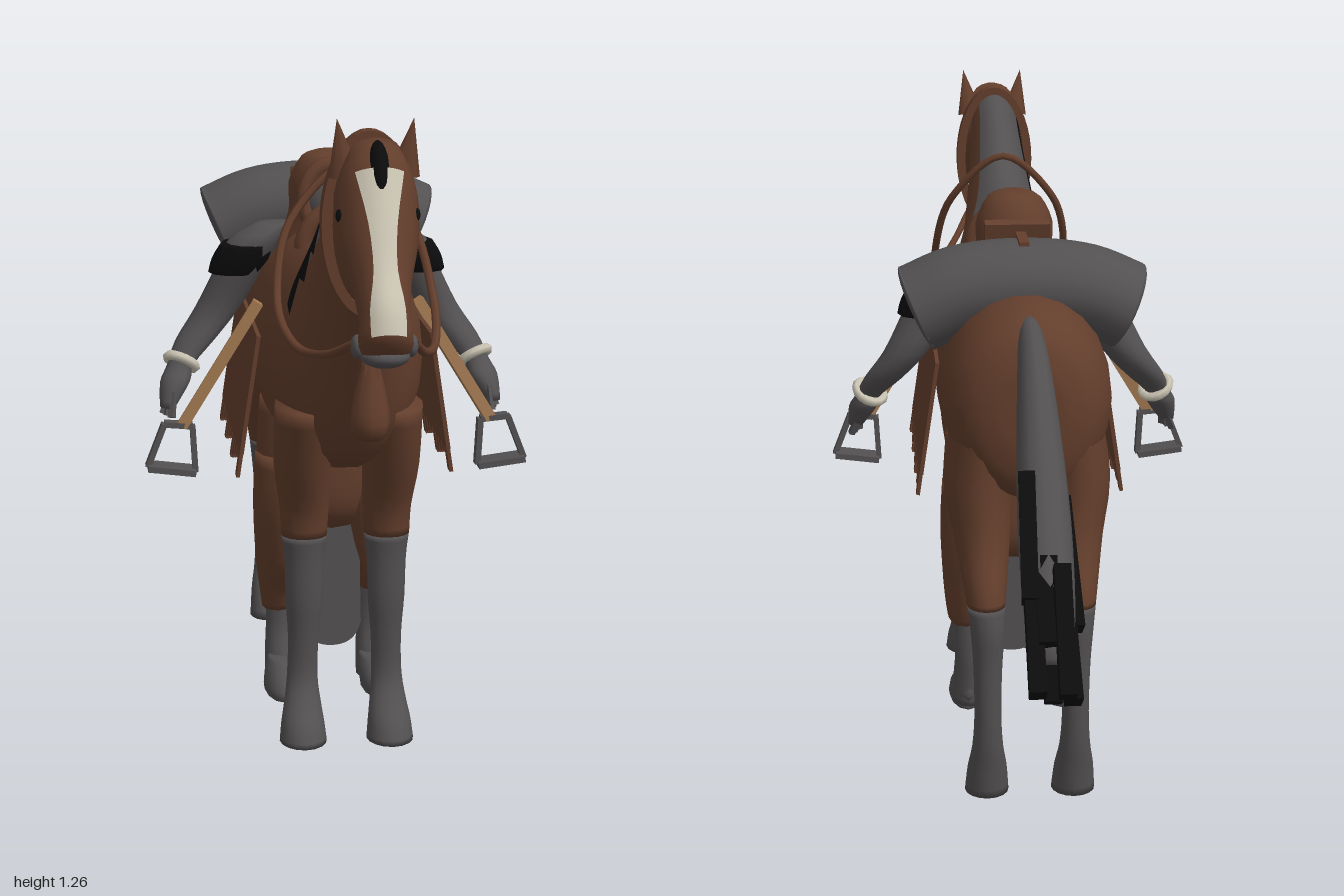
import * as THREE from 'three';

const mat = (name, color) => new THREE.MeshStandardMaterial({ name, color, side: THREE.DoubleSide });
const brown = mat('chestnut', 0x633e2c), gray = mat('charcoal', 0x535051), black = mat('black', 0x0c0c0c);
const cream = mat('cream', 0xcac4b2), tan = mat('tan leather', 0xa47a52);

// Section: [x, y, z, halfWidth, halfDepth, angle of the depth axis in the yz plane, ...extras]
function smooth(s, n = 3) {
  const out = [], at = i => s[Math.min(Math.max(i, 0), s.length - 1)];
  for (let i = 0; i < s.length - 1; i++) for (let k = 0; k < n; k++) {
    const t = k / n, p = at(i - 1), a = at(i), b = at(i + 1), c = at(i + 2);
    out.push(a.map((v, j) => {
      const cubic = 3 * (v - b[j]) + c[j] - p[j];
      const square = 2 * p[j] - 5 * v + 4 * b[j] - c[j];
      return v + 0.5 * t * (b[j] - p[j] + t * (square + t * cubic));
    }));
  }
  out.push(s[s.length - 1]);
  return out;
}

function ringPoint([x, y, z, w, d, a = 0], deg, off = 0) {
  const t = deg * Math.PI / 180, u = a * Math.PI / 180, r = (d + off) * Math.sin(t);
  return [x + (w + off) * Math.cos(t), y + r * Math.sin(u), z + r * Math.cos(u)];
}

function mesh(parent, name, geo, material, pos = [0, 0, 0], scale = [1, 1, 1], rot = [0, 0, 0]) {
  const m = new THREE.Mesh(geo, material);
  m.name = name;
  m.position.set(...pos);
  m.scale.set(...scale);
  m.rotation.set(...rot);
  parent.add(m);
  return m;
}

function indexed(pos, idx) {
  const g = new THREE.BufferGeometry();
  g.setAttribute('position', new THREE.Float32BufferAttribute(pos, 3));
  g.setIndex(idx);
  g.computeVertexNormals();
  return g;
}

// Closed body through elliptical sections
function loft(parent, name, sections, material, seg = 16) {
  const s = smooth(sections), pos = [], idx = [], last = (s.length - 1) * seg;
  s.forEach(c => { for (let j = 0; j < seg; j++) pos.push(...ringPoint(c, j * 360 / seg)); });
  pos.push(...s[0].slice(0, 3), ...s[s.length - 1].slice(0, 3));
  const start = last + seg, end = start + 1;
  for (let j = 0; j < seg; j++) {
    const k = (j + 1) % seg;
    for (let i = 0; i < last; i += seg) idx.push(i + j, i + k, i + seg + j, i + k, i + seg + k, i + seg + j);
    idx.push(start, k, j, end, last + j, last + k);
  }
  return mesh(parent, name, indexed(pos, idx), material);
}

// Thin skin over a loft; range gives start and end angle for each section
function patch(parent, name, sections, range, material, off) {
  const s = smooth(sections), n = 8, pos = [], idx = [];
  s.forEach((c, i) => {
    const [a, b] = range(c, i);
    for (let j = 0; j <= n; j++) pos.push(...ringPoint(c, a + (b - a) * j / n, off));
  });
  for (let i = 0; i < s.length - 1; i++) for (let j = 0; j < n; j++) {
    const a = i * (n + 1) + j, b = a + n + 1;
    idx.push(a, a + 1, b, a + 1, b + 1, b);
  }
  return mesh(parent, name, indexed(pos, idx), material);
}

function bar(parent, name, p, q, w, d, material) {
  const a = new THREE.Vector3(...p), b = new THREE.Vector3(...q), dir = b.clone().sub(a);
  const m = mesh(parent, name, new THREE.BoxGeometry(w, dir.length(), d), material, a.clone().add(b).multiplyScalar(0.5).toArray());
  m.quaternion.setFromUnitVectors(new THREE.Vector3(0, 1, 0), dir.normalize());
  return m;
}

const tube = (pts, r, n, sides) =>
  new THREE.TubeGeometry(new THREE.CatmullRomCurve3(pts.map(p => new THREE.Vector3(...p))), n, r, sides);
const ball = () => new THREE.SphereGeometry(1, 18, 12);

function buildHorse(g) {
  // Trunk and neck
  const trunk = [
    [0, .78, -.44, .06, .07, 90], [0, .77, -.42, .115, .145, 90], [0, .775, -.36, .155, .185, 90],
    [0, .775, -.25, .167, .2, 90], [0, .755, -.1, .165, .215, 90], [0, .745, .1, .165, .225, 90],
    [0, .75, .25, .16, .23, 90], [0, .765, .38, .145, .22, 95], [0, .8, .465, .118, .2, 105],
    [0, .9, .52, .085, .17, 120], [0, .995, .6, .068, .135, 130], [0, 1.07, .7, .056, .12, 128],
    [0, 1.13, .76, .05, .09, 120], [0, 1.17, .78, .035, .05, 110]];
  loft(g, 'trunkAndNeck', trunk, brown, 22);
  const crest = trunk.slice(7, 13);
  patch(g, 'mane', crest, (c, i) => [55, i < 3 ? 115 : 152], gray, .007);
  patch(g, 'maneFringe', crest.slice(1), (c, i) => [145, 158 + (i % 2) * 12], black, .009);

  // Head; extra value is half the angle of the blaze
  const head = [
    [0, 1.2, .775, .045, .045, 38, 5], [0, 1.13, .79, .07, .09, 36, 34], [0, 1.05, .835, .068, .083, 36, 20],
    [0, .99, .89, .05, .06, 36, 22], [0, .94, .93, .044, .055, 34, 38], [0, .9, .948, .046, .05, 30, 36],
    [0, .875, .945, .03, .03, 30, 20]];
  loft(g, 'head', head, brown, 18);
  patch(g, 'blaze', head.slice(1, 6), c => [90 - c[6], 90 + c[6]], cream, .004);
  mesh(g, 'chin', ball(), gray, [0, .88, .935], [.042, .02, .04]);
  mesh(g, 'forelock', ball(), black, [0, 1.175, .845], [.018, .055, .03], [-.5, 0, 0]);

  for (const s of [1, -1]) {
    mesh(g, 'ear', new THREE.ConeGeometry(.028, .1, 8), brown, [s * .058, 1.21, .79], [1, 1, .6], [.15, 0, -s * .15]);
    mesh(g, 'eye', ball(), black, [s * .064, 1.1, .835], [.008, .012, .012]);
    mesh(g, 'bitRing', ball(), gray, [s * .045, .895, .925], [.012, .02, .02]);
    // Front leg
    loft(g, 'frontUpperLeg', [[s * .08, .68, .42, .06, .1], [s * .085, .56, .385, .055, .085], [s * .08, .47, .37, .048, .055],
      [s * .08, .41, .37, .044, .042]], brown);
    loft(g, 'frontLowerLeg', [[s * .08, .41, .37, .044, .042], [s * .08, .36, .37, .038, .035], [s * .08, .28, .367, .036, .032],
      [s * .081, .2, .36, .03, .026], [s * .083, .12, .355, .03, .026], [s * .084, .07, .37, .036, .035],
      [s * .085, .035, .385, .042, .05], [s * .085, 0, .395, .046, .058]], gray);
    // Hind leg
    loft(g, 'hindUpperLeg', [[s * .085, .74, -.3, .06, .12], [s * .095, .62, -.3, .068, .12], [s * .09, .52, -.34, .056, .092],
      [s * .088, .44, -.405, .043, .063], [s * .087, .4, -.432, .037, .047]], brown);
    loft(g, 'hindLowerLeg', [[s * .087, .4, -.432, .037, .047], [s * .085, .35, -.446, .033, .036], [s * .085, .28, -.444, .028, .03],
      [s * .085, .18, -.44, .026, .028], [s * .085, .11, -.43, .03, .03], [s * .085, .06, -.41, .038, .04],
      [s * .085, 0, -.39, .043, .05]], gray);
  }

  // Tail with dark ragged ends
  loft(g, 'tail', [[0, .93, -.36, .02, .025, -65], [0, .885, -.47, .03, .045, -58], [0, .79, -.59, .04, .05, -48],
    [0, .66, -.72, .048, .052, -45], [0, .54, -.83, .046, .045, -45], [0, .46, -.91, .035, .03, -45]], gray, 12);
  for (const [x, y, z, ex, ey, ez] of [[.03, .74, -.7, .035, .56, -.86], [-.035, .68, -.66, -.045, .5, -.84], [0, .62, -.8, 0, .4, -.93],
    [.03, .58, -.83, .03, .43, -.97], [-.02, .62, -.85, -.02, .435, -.99], [-.03, .54, -.8, -.035, .4, -.93], [.01, .66, -.74, .01, .5, -.92]])
    bar(g, 'tailStrand', [x, y, z], [ex, ey, ez], .03, .035, black);
}

function buildTack(g) {
  // Neck collar with hanging tassel
  const ring = new THREE.Shape().absellipse(0, 0, .085, .163, 0, Math.PI * 2);
  ring.holes.push(new THREE.Path().absellipse(0, 0, .066, .147, 0, Math.PI * 2));
  mesh(g, 'collar', new THREE.ExtrudeGeometry(ring, { depth: .04, bevelEnabled: false, curveSegments: 20 }), brown, [0, 1.068, .7]);
  bar(g, 'tasselCord', [0, .93, .735], [0, .8, .745], .025, .03, brown);
  loft(g, 'tassel', [[0, .83, .745, .014, .014], [0, .79, .745, .024, .022], [0, .72, .745, .036, .037], [0, .69, .745, .022, .022]], brown, 8);

  const half = [[.05, .9, .93], [.085, .86, .82], [.125, .845, .67], [.143, .9, .52], [.11, 1.03, .43]];
  mesh(g, 'reins', tube([...half, [0, 1.125, .4], ...half.slice().reverse().map(([x, y, z]) => [-x, y, z])], .008, 70, 6), brown);
  mesh(g, 'pommel', new THREE.TorusGeometry(.073, .018, 8, 16, Math.PI), brown, [0, .955, .295]);

  for (const s of [1, -1]) {
    // Saddle cloth flaring outward, with fringe
    const flare = y => s * (.165 + (.8 - y) * .15);
    bar(g, 'saddleCloth', [flare(.8), .8, .12], [flare(.57), .57, .12], .008, .5, brown);
    for (let i = 0; i < 13; i++) {
      const z = -.11 + i * .0385, low = .525 + ((i * 5) % 4) * .01;
      bar(g, 'fringe', [flare(.575), .575, z], [flare(low), low, z], .007, .029, brown);
    }
    // Stirrup and leather
    bar(g, 'stirrupLeather', [s * .155, .84, .235], [s * .305, .595, .225], .022, .024, tan);
    const a = [s * .285, .595, .225], b = [s * .34, .6, .225], c = [s * .373, .515, .225], d = [s * .28, .503, .225];
    for (const [p, q] of [[a, b], [b, c], [d, a]]) bar(g, 'stirrupFrame', p, q, .011, .025, gray);
    bar(g, 'stirrupTread', c, d, .012, .055, gray);
  }

  // Bedroll draped behind the saddle
  const roll = new THREE.Group();
  roll.name = 'bedroll';
  g.add(roll);
  const rollPath = [[-.205, .925, 0], [-.12, .96, 0], [0, .972, 0], [.12, .96, 0], [.205, .925, 0]];
  mesh(roll, 'rollBody', tube(rollPath, .087, 24, 18), gray, [0, 0, -.18], [1, 1, 1.25]);
  for (const s of [1, -1]) mesh(roll, 'rollEnd', ball(), gray, [s * .205, .925, -.18], [.012, .087, .109], [0, 0, -s * .42]);
  bar(roll, 'rollTie', [0, 1.06, -.13], [0, 1.06, -.24], .02, .008, brown);
}

function buildRider(g) {
  // Hood, face and cape
  loft(g, 'hood', [[0, 1.112, .06, .025, .03], [0, 1.098, .058, .055, .06], [0, 1.05, .05, .078, .08],
    [0, .99, .045, .078, .08], [0, .93, .04, .1, .085]], brown);
  mesh(g, 'face', ball(), gray, [0, 1.01, .095], [.054, .068, .05]);
  mesh(g, 'hoodRim', new THREE.TorusGeometry(.055, .014, 8, 24), brown, [0, 1.02, .118], [1, 1.25, 1], [-.1, 0, 0]);
  bar(g, 'cape', [0, .94, -.01], [0, 1.065, -.04], .13, .025, brown);
  // Hips
  loft(g, 'hips', [[0, .62, .07, .14, .1], [0, .5, .068, .148, .105], [0, .4, .065, .14, .1], [0, .35, .06, .1, .07]], brown);
  for (const s of [1, -1]) {
    // Arm, sleeve band and hand
    loft(g, 'arm', [[s * .1, .965, .04, .04, .04], [s * .145, .93, .04, .055, .058], [s * .178, .87, .035, .05, .05],
      [s * .222, .79, .025, .046, .044], [s * .268, .73, .045, .04, .038], [s * .3, .685, .075, .027, .026],
      [s * .312, .655, .095, .03, .036], [s * .328, .61, .12, .016, .024]], gray, 12);
    loft(g, 'sleeveBand', [[s * .158, .925, .038, .056, .064], [s * .172, .895, .036, .06, .064], [s * .188, .865, .034, .052, .055]], black, 10);
    mesh(g, 'bracelet', new THREE.TorusGeometry(.03, .01, 6, 14), cream, [s * .298, .69, .074], [1, 1, 1], [Math.PI / 2 - .5, s * .4, 0]);
    for (const k of [0, 1, 2])
      bar(g, 'finger', [s * .318, .64, .09 + k * .02], [s * (.338 - k * .008), .592, .105 + k * .02], .012, .012, gray);
    // Baggy trouser leg and boot
    loft(g, 'trouserLeg', [[s * .08, .5, .068, .07, .1], [s * .085, .4, .065, .07, .108], [s * .09, .28, .055, .06, .09],
      [s * .1, .21, .04, .042, .06], [s * .105, s > 0 ? .195 : .16, .035, .03, .04]], brown, 12);
    loft(g, 'bootShaft', [[s * .095, .24, .035, .035, .036], [s * .095, .13, .03, .032, .034],
      [s * .095, .06, .045, .036, .042], [s * .095, .01, .05, .035, .045]], gray, 12);
    loft(g, 'bootFoot', [[s * .095, .065, .06, .03, .05], [s * .097, .035, .085, .037, .085],
      [s * .1, .015, .1, .038, .09], [s * .1, 0, .1, .036, .088]], gray, 12);
  }
  // Hanging sash between the legs
  const sash = new THREE.Shape();
  sash.moveTo(-.055, .4);
  sash.lineTo(-.06, .15);
  sash.quadraticCurveTo(-.05, .1, 0, .1);
  sash.quadraticCurveTo(.05, .1, .06, .15);
  sash.lineTo(.055, .4);
  mesh(g, 'sash', new THREE.ExtrudeGeometry(sash, { depth: .03, bevelEnabled: false }), gray, [0, 0, .1]);
}

export function createModel() {
  const root = new THREE.Group();
  root.name = 'saddledHorse';
  for (const [name, build] of [['horse', buildHorse], ['tack', buildTack], ['rider', buildRider]]) {
    const g = new THREE.Group();
    g.name = name;
    build(g);
    root.add(g);
  }
  return root;
}
